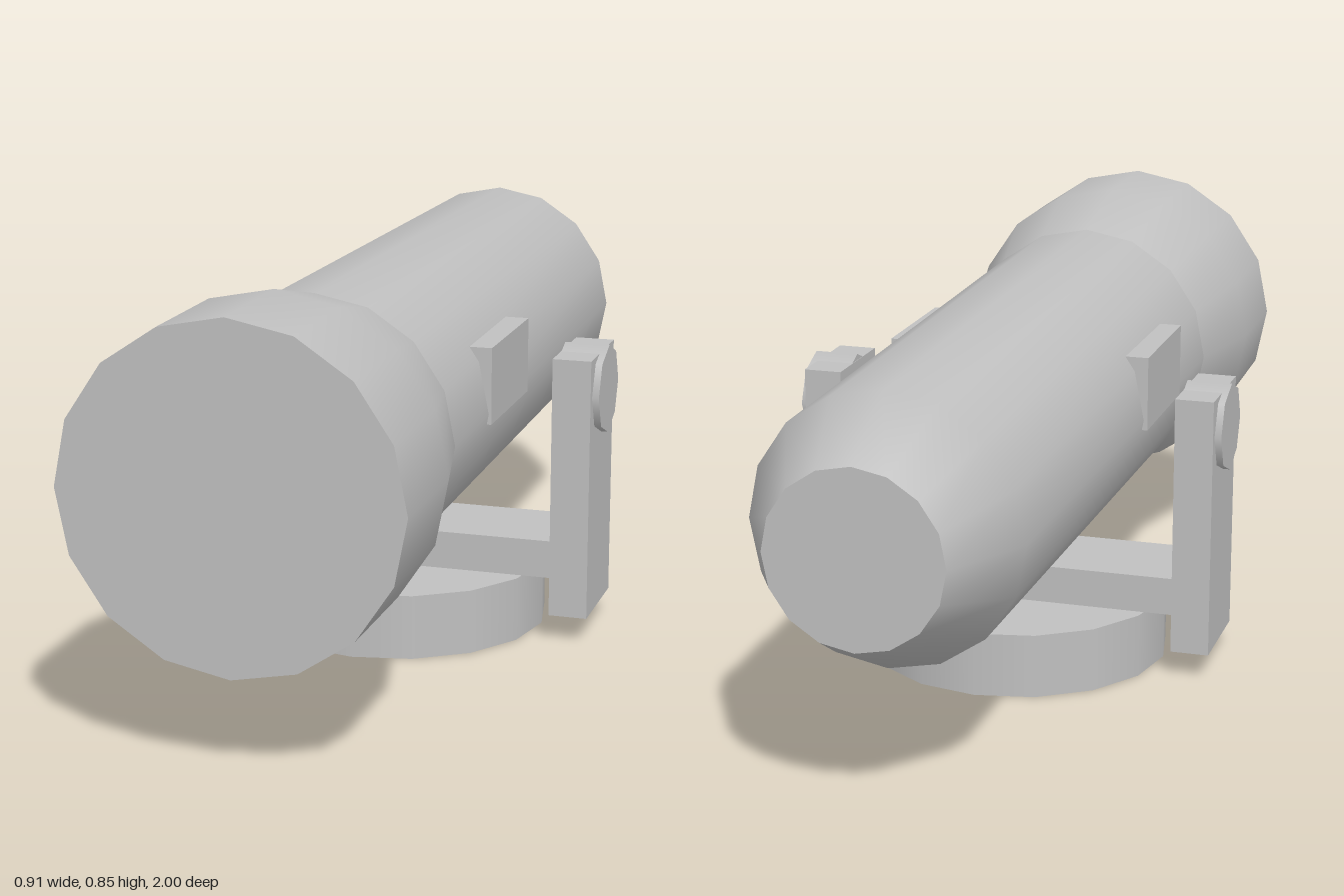
import * as THREE from 'three';

export function createModel() {
  const model = new THREE.Group();
  model.name = 'spotlight';
  const grey = new THREE.MeshStandardMaterial({ color: 0xc0c0c0, side: THREE.DoubleSide });
  grey.name = 'grey metal';

  const SIDES = 16;
  const AXIS = 0.521; // height of the lamp axis and of the pivots

  function add(parent, name, geometry, x = 0, y = 0, z = 0) {
    const mesh = new THREE.Mesh(geometry, grey);
    mesh.name = name;
    mesh.position.set(x, y, z);
    parent.add(mesh);
    return mesh;
  }

  // Surface of revolution along z; profile is [radius, z] from back to front
  function turned(profile) {
    const points = profile.map(([r, z]) => new THREE.Vector2(r, z));
    return new THREE.LatheGeometry(points, SIDES).rotateX(Math.PI / 2);
  }

  // Lamp housing: tapered barrel, flared hood and flat ends
  const lamp = new THREE.Group();
  lamp.name = 'lamp';
  lamp.position.y = AXIS;
  model.add(lamp);
  add(lamp, 'barrel', turned([[0.172, -1], [0.265, -0.83], [0.277, 0.53]]));
  add(lamp, 'hood', turned([[0.277, 0.53], [0.328, 0.75], [0.328, 1]]));
  add(lamp, 'lens', new THREE.CircleGeometry(0.328, SIDES), 0, 0, 1);
  add(lamp, 'backCap', new THREE.CircleGeometry(0.172, SIDES).rotateY(Math.PI), 0, 0, -1);

  // Base: shallow drum, open underneath
  const base = new THREE.Group();
  base.name = 'base';
  model.add(base);
  add(base, 'baseWall', new THREE.CylinderGeometry(0.32, 0.32, 0.134, SIDES, 1, true), 0, 0.067, 0);
  add(base, 'baseLid', new THREE.CircleGeometry(0.32, SIDES).rotateX(-Math.PI / 2), 0, 0.134, 0);

  // Yoke: crossbar, with an arm, pivot knob and side panel on each side
  const yoke = new THREE.Group();
  yoke.name = 'yoke';
  model.add(yoke);
  add(yoke, 'crossbar', new THREE.BoxGeometry(0.72, 0.079, 0.21), 0, 0.1755, 0);
  for (const [side, s] of [['left', 1], ['right', -1]]) {
    add(yoke, side + 'Arm', new THREE.BoxGeometry(0.08, 0.545, 0.21), s * 0.4, 0.3275, 0);
    const knob = new THREE.CylinderGeometry(0.092, 0.092, 0.093, 8).rotateZ(Math.PI / 2);
    add(yoke, side + 'Knob', knob, s * 0.4075, AXIS, 0);
    add(lamp, side + 'Panel', new THREE.BoxGeometry(0.06, 0.155, 0.29), s * 0.25, 0.057, 0.135);
  }
  return model;
}
